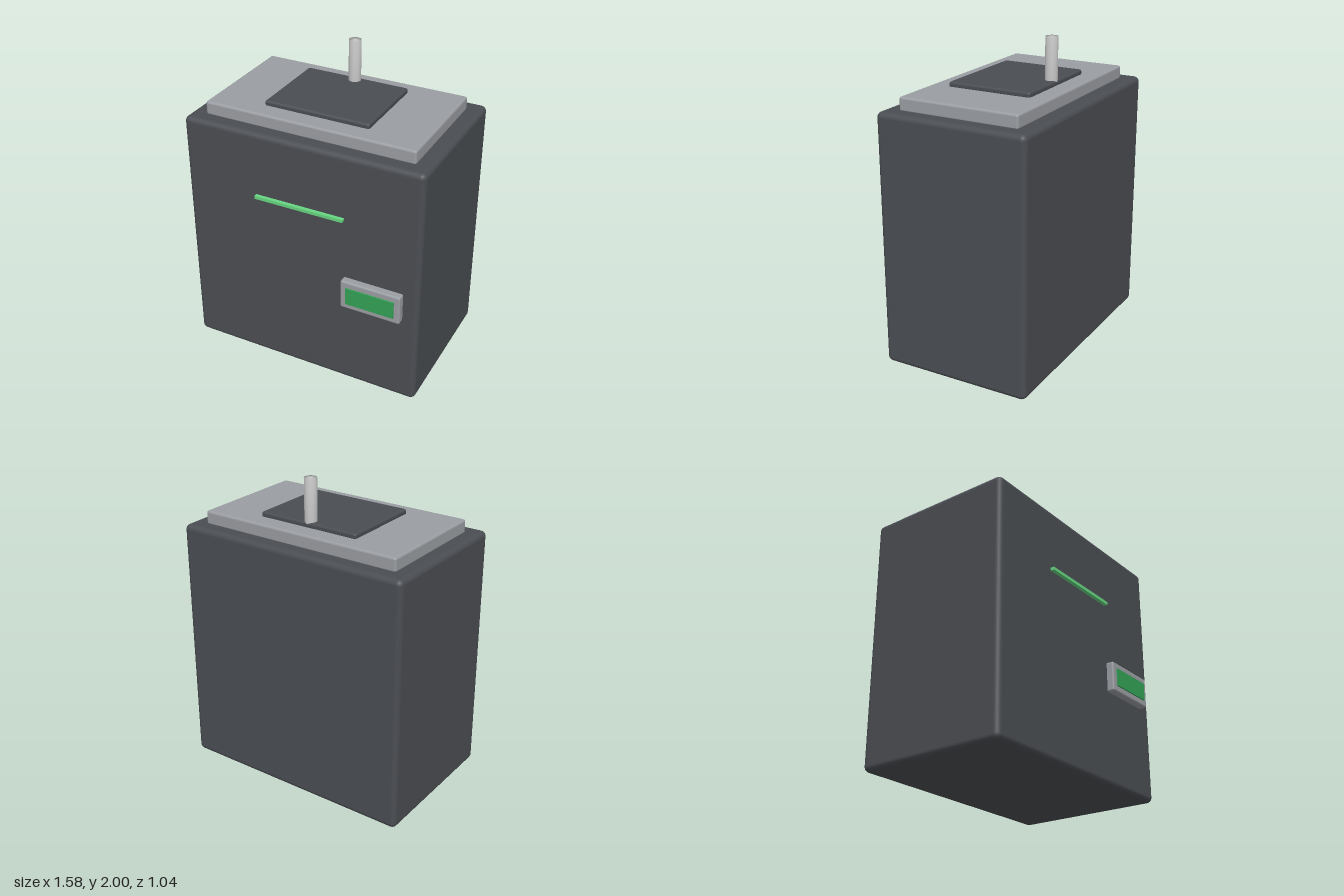
import * as THREE from 'three';
import { RoundedBoxGeometry } from 'three/addons/geometries/RoundedBoxGeometry.js';
import { mergeVertices } from 'three/addons/utils/BufferGeometryUtils.js';

const material = (color) => new THREE.MeshStandardMaterial({ color });

// Box given by its extents on each axis, with an optional edge radius
function block(name, [x0, x1], [y0, y1], [z0, z1], radius, mat) {
  const size = [x1 - x0, y1 - y0, z1 - z0];
  const geometry = radius
    ? new RoundedBoxGeometry(...size, 3, radius)
    : new THREE.BoxGeometry(...size);
  const mesh = new THREE.Mesh(geometry, mat);
  mesh.name = name;
  mesh.position.set((x0 + x1) / 2, (y0 + y1) / 2, (z0 + z1) / 2);
  return mesh;
}

export function createModel() {
  const dark = material(0x4a4d52);
  const metal = material(0x9a9da2);
  const steel = material(0xdddddd);
  const screenGreen = material(0x33a055);
  const lightGreen = material(0x66d680);

  const model = new THREE.Group();
  model.name = 'cabinet';

  // Cabinet with stepped top
  model.add(
    block('body', [-0.79, 0.79], [0, 1.625], [-0.522, 0.466], 0.035, dark),
    block('topPlate', [-0.69, 0.69], [1.615, 1.705], [-0.422, 0.367], 0.015, metal),
    block('topPad', [-0.345, 0.345], [1.695, 1.735], [-0.306, 0.248], 0.014, dark),
  );

  // Front light strip and display
  model.add(
    block('lightStrip', [-0.296, 0.296], [1.194, 1.214], [0.45, 0.491], 0, lightGreen),
    block('displayFrame', [0.296, 0.69], [0.6, 0.796], [0.45, 0.513], 0.012, metal),
    block('displayScreen', [0.335, 0.652], [0.64, 0.755], [0.49, 0.522], 0, screenGreen),
  );

  // Upright rod, with normals blended over the end caps
  let rodGeometry = new THREE.CylinderGeometry(0.039, 0.039, 0.29, 32);
  rodGeometry.deleteAttribute('normal');
  rodGeometry.deleteAttribute('uv');
  rodGeometry = mergeVertices(rodGeometry);
  rodGeometry.computeVertexNormals();
  const rod = new THREE.Mesh(rodGeometry, steel);
  rod.name = 'rod';
  rod.position.set(0, 1.855, -0.266);
  model.add(rod);

  return model;
}
